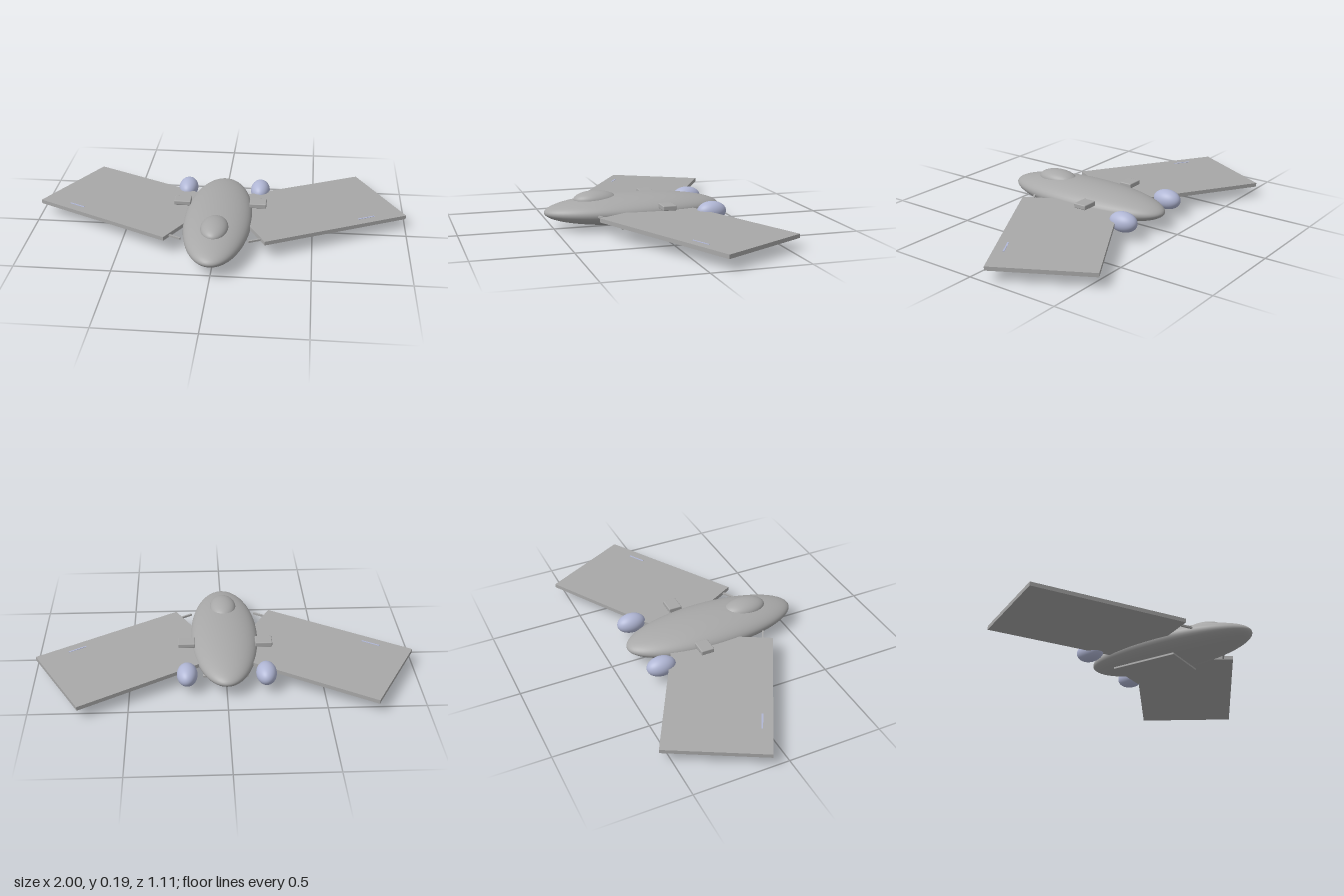
import * as THREE from 'three';
import { RoundedBoxGeometry } from 'three/addons/geometries/RoundedBoxGeometry.js';

const hull = new THREE.MeshStandardMaterial({ name: 'hullGrey', color: 0xa8a8a8 });
const glow = new THREE.MeshStandardMaterial({ name: 'paleBlue', color: 0xb0b6d4 });

function add(parent, name, geometry, material, x, y, z) {
  const mesh = new THREE.Mesh(geometry, material);
  mesh.name = name;
  mesh.position.set(x, y, z);
  parent.add(mesh);
  return mesh;
}

// Ellipsoid with its poles at the nose and the tail
function ellipsoid(rx, ry, rz) {
  return new THREE.SphereGeometry(1, 48, 32).rotateX(Math.PI / 2).scale(rx, ry, rz);
}

export function createModel() {
  const model = new THREE.Group();
  model.name = 'flyingCraft';

  // Fuselage, canopy and belly plate
  add(model, 'fuselage', ellipsoid(0.18, 0.081, 0.48), hull, 0, 0.091, 0.07);
  add(model, 'canopy', ellipsoid(0.072, 0.045, 0.117), hull, 0, 0.15, 0.277);
  add(model, 'bellyPlate', new THREE.BoxGeometry(0.24, 0.01, 0.366), hull, 0, 0.007, -0.022);

  const sweep = 0.501;
  const droop = 0.03;
  for (const s of [1, -1]) {
    const side = s > 0 ? 'left' : 'right';

    // Swept, slightly drooping wing with its fittings in wing space
    const wing = new THREE.Group();
    wing.name = side + 'Wing';
    wing.position.set(s * 0.5025, 0.082, -0.12);
    wing.rotation.set(0, s * sweep, -s * droop);
    model.add(wing);
    add(wing, 'wingPanel', new THREE.BoxGeometry(0.844, 0.021, 0.53), hull, 0, 0, 0);
    add(wing, 'wingMarker', new THREE.BoxGeometry(0.1, 0.003, 0.009), glow, s * 0.206, 0.0105, 0.212);
    add(wing, 'wingStrut', new THREE.BoxGeometry(0.12, 0.01, 0.01), hull, s * -0.43, -0.003, 0.212);

    // Shoulder block and rear engine pod
    add(model, side + 'ShoulderBlock', new RoundedBoxGeometry(0.09, 0.026, 0.072, 2, 0.005),
      hull, s * 0.204, 0.13, -0.06);
    add(model, side + 'EnginePod', ellipsoid(0.053, 0.053, 0.079), glow, s * 0.203, 0.091, -0.305);
  }
  return model;
}
